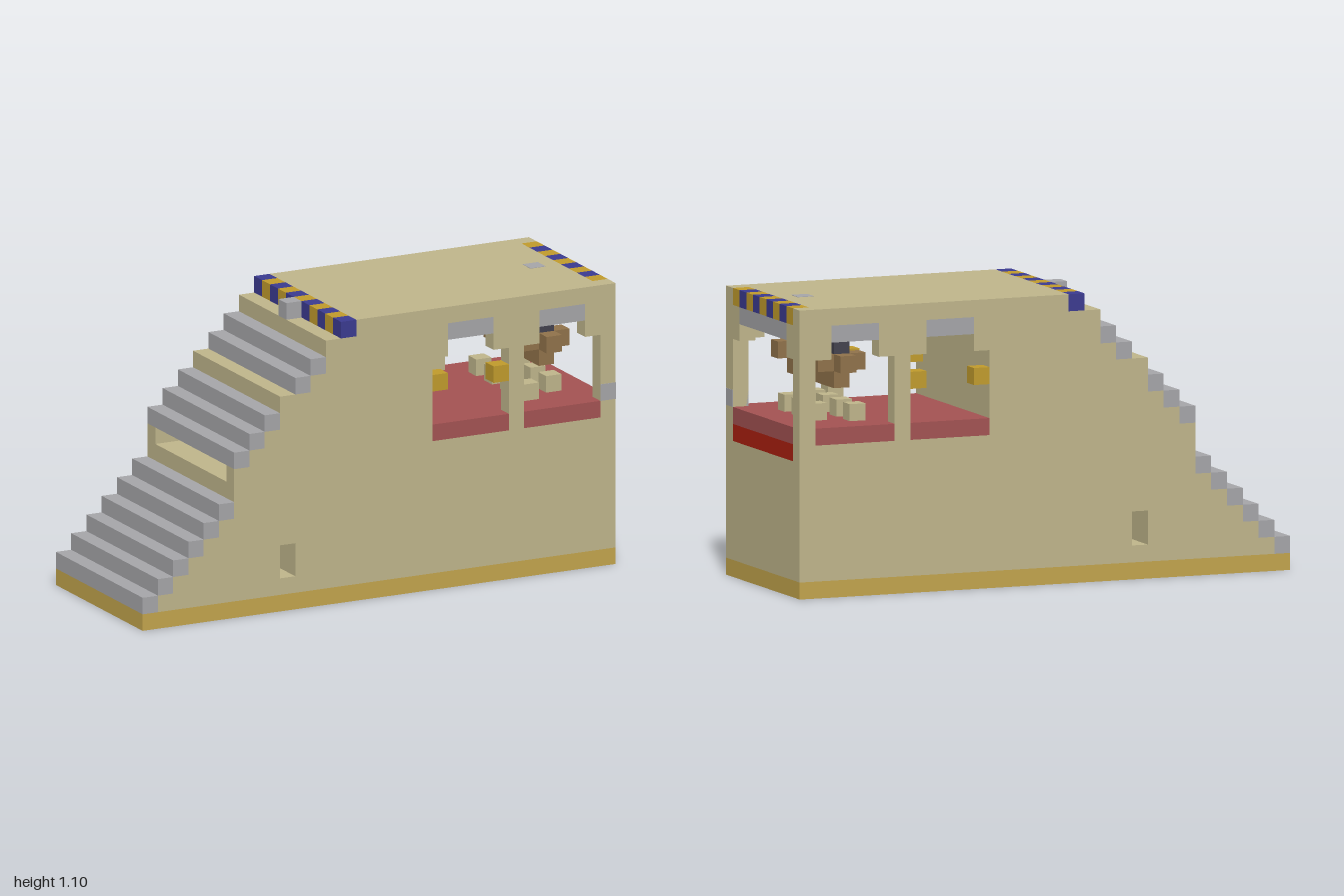
import * as THREE from 'three';

const U = 2 / 31; // one cell; the model is 31 x 17 x 11 cells

const mat = (name, color) => {
  const m = new THREE.MeshStandardMaterial({ color });
  m.name = name;
  return m;
};

export function createModel() {
  const M = {
    sand: mat('sand', 0xbfb58b),
    base: mat('ochre', 0xc2a44c),
    gold: mat('gold', 0xc09b2c),
    grey: mat('grey', 0xa5a5a8),
    blue: mat('blue', 0x3b3a90),
    floor: mat('dusty red', 0xa35252),
    red: mat('bright red', 0xab1f0f),
    brown: mat('brown', 0x90724a),
    dark: mat('charcoal', 0x42414e),
  };

  const model = new THREE.Group();
  const cells = new THREE.Group();
  cells.name = 'building';
  cells.scale.setScalar(U);
  cells.position.x = -1;
  model.add(cells);

  const add = (name, geometry, material) => {
    const mesh = new THREE.Mesh(geometry, material);
    mesh.name = name;
    cells.add(mesh);
    return mesh;
  };
  // Box from cell ranges: x to the left side, y up, k from front to back
  const box = (name, material, x0, x1, y0, y1, k0, k1) =>
    add(name, new THREE.BoxGeometry(x1 - x0, y1 - y0, k1 - k0), material)
      .position.set((x0 + x1) / 2, (y0 + y1) / 2, 5.5 - (k0 + k1) / 2);
  const cube = (name, material, x, y, k) => box(name, material, x, x + 1, y, y + 1, k, k + 1);
  // Side profile extruded across a range of k
  const slab = (name, points, holes, k0, k1) => {
    const toV = ([x, y]) => new THREE.Vector2(x, y);
    const shape = new THREE.Shape(points.map(toV));
    for (const h of holes) shape.holes.push(new THREE.Path(h.map(toV)));
    add(name, new THREE.ExtrudeGeometry(shape, { depth: k1 - k0, bevelEnabled: false }), M.sand)
      .position.z = 5.5 - k1;
  };

  // Base plinth
  box('plinth', M.base, 0, 31, 0, 1, 0, 11);

  // Stair outline, going down from the roof; the middle has a slot in one riser
  const upper = [[14, 17], [14, 16], [12, 16], [12, 14], [11, 14], [11, 13], [9, 13], [9, 11],
    [8, 11], [8, 10], [7, 10], [7, 9]];
  const lower = [[6, 6], [5, 6], [5, 5], [4, 5], [4, 4], [3, 4], [3, 3], [2, 3], [2, 2], [1, 2]];
  const door = [[9, 2], [10, 2], [10, 4], [9, 4]];
  const windowHole = (x) => [[x, 9], [x + 5, 9], [x + 5, 14], [x + 4, 14], [x + 4, 16],
    [x + 1, 16], [x + 1, 14], [x, 14]];
  const windows = [19, 25];

  // Side walls with windows, and the core with the open room
  const wall = [[1, 1], [31, 1], [31, 17], ...upper, [6, 9], ...lower];
  slab('frontWall', wall, [door, ...windows.map(windowHole)], 0, 1);
  slab('backWall', wall, [door, ...windows.map(windowHole)], 10, 11);
  slab('core', [[1, 1], [31, 1], [31, 8], [30, 8], [30, 9], [19, 9], [19, 16], [30, 16], [30, 17],
    ...upper, [9, 9], [9, 8], [6, 8], ...lower], [door], 1, 10);

  // Grey steps: [column, row]
  for (const [x, y] of [[0, 1], [1, 2], [2, 3], [3, 4], [4, 5], [5, 6], [6, 9], [7, 10], [8, 11],
    [10, 13], [11, 14]]) box('step', M.grey, x, x + 1, y, y + 1, 0, 11);
  cube('stairTopBlock', M.grey, 12, 16, 5);

  // Striped roof edges
  for (let k = 0; k < 11; k++) {
    const m = k % 2 ? M.gold : M.blue;
    cube('stairEdgeStripe', m, 13, 16, k);
    if (k > 0 && k < 10) cube('roofEdgeStripe', m, 30, 16, k);
  }

  // Room floor, ceiling and end opening
  box('roomFloor', M.floor, 19, 31, 9, 10, 1, 10);
  box('endSill', M.red, 30, 31, 8, 9, 1, 10);
  box('ceiling', M.grey, 19, 30, 15, 16, 1, 10);
  box('endLintel', M.grey, 30, 31, 15, 16, 2, 9);
  for (const k of [1, 9]) box('endCorner', M.sand, 30, 31, 14, 16, k, k + 1);

  // Window sills, lintels and gold blocks on both sides
  for (const k of [0, 10]) {
    for (const x of windows) {
      box('windowSill', M.floor, x, x + 5, 9, 10, k, k + 1);
      box('windowLintel', M.grey, x + 1, x + 4, 15, 16, k, k + 1);
    }
    for (const x of [19, 23]) cube('windowBlock', M.gold, x, 12, k);
  }

  // Hanging lamps joined by a beam
  box('lampBeam', M.brown, 27, 28, 12, 13, 2, 9);
  for (const k of [2, 8]) {
    cube('lampHanger', M.dark, 27, 14, k);
    box('lampArm', M.brown, 26, 29, 13, 14, k, k + 1);
    for (const d of [-1, 1]) cube('lampArm', M.brown, 27, 13, k + d);
  }

  // Staggered seats
  for (const k of [2, 4, 6, 8]) cube('seat', M.sand, 26, 10, k);
  for (const k of [3, 5, 7]) cube('seat', M.sand, 28, 10, k);

  // Grey patches on the roof and the corner post
  box('roofPatch', M.grey, 28, 29, 16.95, 17.02, 5, 6);
  box('cornerPatch', M.grey, 30, 31.02, 10, 11, -0.02, 1);

  return model;
}
